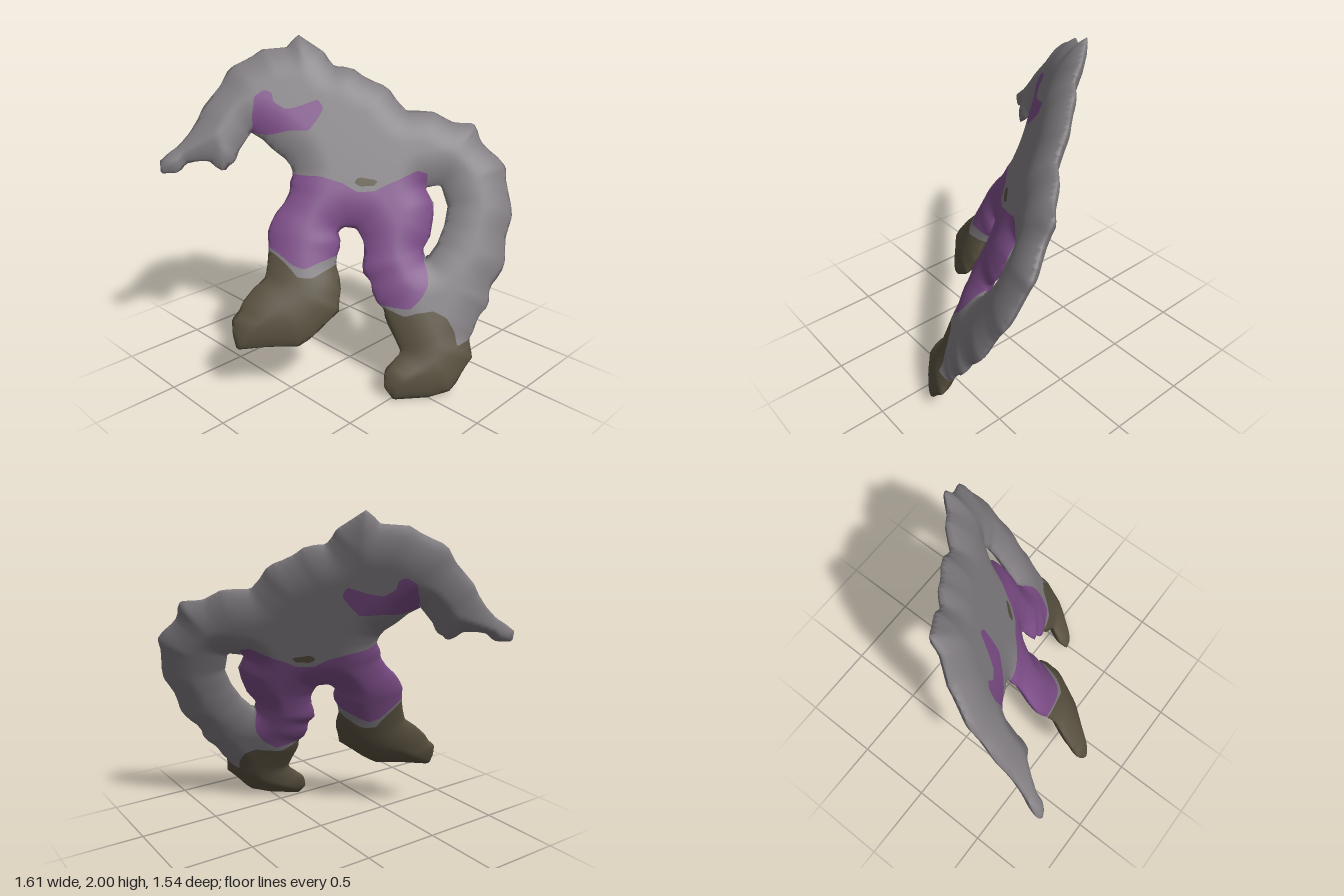
import * as THREE from 'three';
import { mergeVertices } from 'three/addons/utils/BufferGeometryUtils.js';

// The figure is a puffed-up silhouette lying in the slanted plane z = A + B x + C y
const A = 0.65, B = 0.8, C = -0.61;
const NORMAL = new THREE.Vector3(-B, -C, 1).normalize();
const HALF_THICKNESS = 0.074, ROUNDING = 0.22, STEP = 0.02;

// Outline, clockwise from the top of the head, as x, y pairs
const OUTLINE = [
  0.07, 2.0, 0.16, 1.9, 0.18, 1.82, 0.27, 1.8, 0.34, 1.73, 0.4, 1.68, 0.44, 1.56, 0.57, 1.55,
  0.64, 1.49, 0.74, 1.48, 0.74, 1.4, 0.76, 1.33, 0.81, 1.23, 0.77, 1.08, 0.74, 0.95, 0.67, 0.84,
  0.62, 0.71, 0.55, 0.62, 0.48, 0.54, 0.44, 0.46, 0.36, 0.38, 0.3, 0.3, 0.28, 0.2, 0.2, 0.12,
  0.11, 0.03, 0, 0.005, -0.16, 0.005, -0.18, 0.07, -0.14, 0.17, -0.04, 0.25, -0.05, 0.4, -0.04, 0.48,
  -0.06, 0.52, -0.05, 0.63, -0.07, 0.68, -0.03, 0.78, -0.01, 0.85, -0.02, 0.92, -0.07, 0.93,
  -0.11, 0.91, -0.13, 0.82, -0.18, 0.72, -0.2, 0.6, -0.25, 0.48, -0.38, 0.38, -0.49, 0.31,
  -0.77, 0.31, -0.74, 0.47, -0.66, 0.56, -0.52, 0.68, -0.46, 0.82, -0.43, 0.92, -0.36, 1.02,
  -0.26, 1.13, -0.21, 1.23, -0.22, 1.31, -0.29, 1.42, -0.33, 1.46, -0.42, 1.36, -0.46, 1.3,
  -0.52, 1.25, -0.57, 1.31, -0.68, 1.3, -0.74, 1.25, -0.81, 1.25, -0.79, 1.32, -0.68, 1.4,
  -0.55, 1.54, -0.45, 1.66, -0.33, 1.8, -0.25, 1.85, -0.13, 1.92, -0.01, 1.93,
];
// Gap between the long arm and the trousers
const GAP = [
  0.38, 1.13, 0.46, 1.14, 0.45, 1.02, 0.4, 0.92, 0.33, 0.82, 0.25, 0.74,
  0.25, 0.79, 0.31, 0.86, 0.36, 0.96, 0.39, 1.04,
];
// Coloured regions, as seen on the front surface
const TROUSERS = [
  -0.3, 1.23, -0.14, 1.23, -0.05, 1.19, 0, 1.14, 0.08, 1.14, 0.14, 1.17, 0.25, 1.21, 0.33, 1.24,
  0.38, 1.22, 0.38, 1.1, 0.37, 0.95, 0.29, 0.8, 0.22, 0.74, 0.16, 0.63, 0.1, 0.56, 0.03, 0.5,
  -0.1, 0.51, -0.1, 0.78, -0.18, 0.78, -0.28, 0.77, -0.38, 0.74, -0.42, 0.765, -0.46, 0.85,
  -0.55, 0.89,
];
const RIGHT_FOOT = [
  -0.55, 0.85, -0.46, 0.82, -0.44, 0.77, -0.42, 0.7, -0.36, 0.69, -0.27, 0.72, -0.14, 0.74,
  -0.17, 0.4, -0.4, 0.25, -0.9, 0.25, -0.9, 0.5,
];
const LEFT_FOOT = [
  -0.1, 0.5, -0.04, 0.49, 0, 0.46, 0.05, 0.48, 0.13, 0.49, 0.18, 0.45, 0.2, 0.36, 0.19, 0.29,
  0.25, 0.3, 0.4, 0.3, 0.4, -0.05, -0.3, -0.05, -0.3, 0.2,
];
const CHEST_PATCH = [
  -0.33, 1.46, -0.33, 1.56, -0.3, 1.67, -0.24, 1.71, -0.21, 1.69, -0.22, 1.64, -0.18, 1.6,
  -0.12, 1.61, -0.01, 1.65, 0, 1.6, -0.05, 1.54, -0.11, 1.48, -0.2, 1.48, -0.28, 1.45,
];
const BELLY_SPOT = [0, 1.2, 0.04, 1.22, 0.07, 1.21, 0.12, 1.2, 0.09, 1.17, 0.02, 1.17];

const toPoints = (list) =>
  Array.from({ length: list.length / 2 }, (_, i) => [list[2 * i], list[2 * i + 1]]);

// Subdivide an outline and add small ragged bumps
function ragged(points) {
  const result = [];
  points.forEach(([x, y], i) => {
    const [x2, y2] = points[(i + 1) % points.length];
    const length = Math.hypot(x2 - x, y2 - y);
    const bump = 0.007 * Math.sin(i * 2.7);
    result.push([x, y]);
    if (length > 0.07 && y > 0.05) {
      result.push([(x + x2) / 2 + ((y2 - y) / length) * bump, (y + y2) / 2 - ((x2 - x) / length) * bump]);
    }
  });
  return result;
}

// Signed distance measured in the slanted plane, positive inside
function signedDistance(points, x, y) {
  let inside = false, best = Infinity;
  for (let i = 0, j = points.length - 1; i < points.length; j = i++) {
    const [ax, ay] = points[j], [bx, by] = points[i];
    if ((ay > y) !== (by > y) && x < ((bx - ax) * (y - ay)) / (by - ay) + ax) inside = !inside;
    const ex = bx - ax, ey = by - ay, ez = B * ex + C * ey;
    const px = x - ax, py = y - ay, pz = B * px + C * py;
    const t = Math.min(1, Math.max(0, (px * ex + py * ey + pz * ez) / (ex * ex + ey * ey + ez * ez)));
    best = Math.min(best, Math.hypot(px - t * ex, py - t * ey, pz - t * ez));
  }
  return inside ? best : -best;
}

// Keep the part of a polygon where the values are positive
function clip(poly, values, onRim) {
  const result = [];
  poly.forEach((p, i) => {
    const j = (i + 1) % poly.length, q = poly[j], a = values[i], b = values[j];
    if (a >= 0) result.push(p);
    if ((a >= 0) !== (b >= 0)) {
      const t = a / (a - b);
      const mix = (k) => p[k] + (q[k] - p[k]) * t;
      result.push({ x: mix('x'), y: mix('y'), h: onRim ? 0 : mix('h') });
    }
  });
  return result;
}

export function createModel() {
  const grey = new THREE.MeshStandardMaterial({ color: 0x807c80 });
  const purple = new THREE.MeshStandardMaterial({ color: 0x7c4d87 });
  const brown = new THREE.MeshStandardMaterial({ color: 0x595140 });
  grey.name = 'grey';
  purple.name = 'purple';
  brown.name = 'brown';

  const outline = ragged(toPoints(OUTLINE)), gap = toPoints(GAP);
  const parts = [
    ['trousers', purple, TROUSERS], ['rightFoot', brown, RIGHT_FOOT], ['leftFoot', brown, LEFT_FOOT],
    ['chestPatch', purple, CHEST_PATCH], ['bellySpot', brown, BELLY_SPOT], ['bodyAndArms', grey, null],
  ].map(([name, material, list]) => ({ name, material, region: list && toPoints(list), triangles: [] }));

  // Grid points with their half thickness, thinning to a narrow rim
  const columns = Math.ceil(1.7 / STEP), rows = Math.ceil(2.06 / STEP);
  const grid = [];
  for (let r = 0; r <= rows; r++) {
    for (let c = 0; c <= columns; c++) {
      const x = -0.85 + c * STEP, y = -0.02 + r * STEP;
      const d = Math.min(signedDistance(outline, x, y), -signedDistance(gap, x, y));
      const s = 1 - Math.min(1, Math.max(0, d / ROUNDING));
      grid.push({ x, y, d, h: HALF_THICKNESS * Math.pow(1 - s * s, 0.75) });
    }
  }

  // Cut every grid triangle by the outline, then share it among the parts
  const addTriangle = (corners) => {
    let rest = clip(corners, corners.map((p) => p.d), true);
    for (const part of parts) {
      if (rest.length < 3) return;
      let piece = rest;
      if (part.region) {
        const values = rest.map((p) =>
          signedDistance(part.region, p.x + NORMAL.x * p.h, p.y + NORMAL.y * p.h));
        piece = clip(rest, values, false);
        rest = clip(rest, values.map((v) => -v), false);
      }
      for (let i = 1; i + 1 < piece.length; i++) part.triangles.push([piece[0], piece[i], piece[i + 1]]);
    }
  };
  for (let r = 0; r < rows; r++) {
    for (let c = 0; c < columns; c++) {
      const i = r * (columns + 1) + c, k = i + columns + 1;
      addTriangle([grid[i], grid[i + 1], grid[k + 1]]);
      addTriangle([grid[i], grid[k + 1], grid[k]]);
    }
  }

  // Front and back skins, welded together for smooth normals
  const positions = [];
  const addPoint = (p, side) => {
    const h = p.h * side;
    positions.push(p.x + NORMAL.x * h, p.y + NORMAL.y * h, A + B * p.x + C * p.y + NORMAL.z * h);
  };
  for (const part of parts) {
    part.start = positions.length / 3;
    for (const [a, b, c] of part.triangles) {
      [a, b, c].forEach((p) => addPoint(p, 1));
      [a, c, b].forEach((p) => addPoint(p, -1));
    }
    part.end = positions.length / 3;
  }
  const loose = new THREE.BufferGeometry();
  loose.setAttribute('position', new THREE.Float32BufferAttribute(positions, 3));
  const skin = mergeVertices(loose);
  skin.computeVertexNormals();

  const model = new THREE.Group();
  model.name = 'figure';
  for (const part of parts) {
    const geometry = new THREE.BufferGeometry();
    geometry.setAttribute('position', skin.attributes.position);
    geometry.setAttribute('normal', skin.attributes.normal);
    geometry.setIndex(Array.from(skin.index.array.slice(part.start, part.end)));
    const mesh = new THREE.Mesh(geometry, part.material);
    mesh.name = part.name;
    model.add(mesh);
  }
  return model;
}
